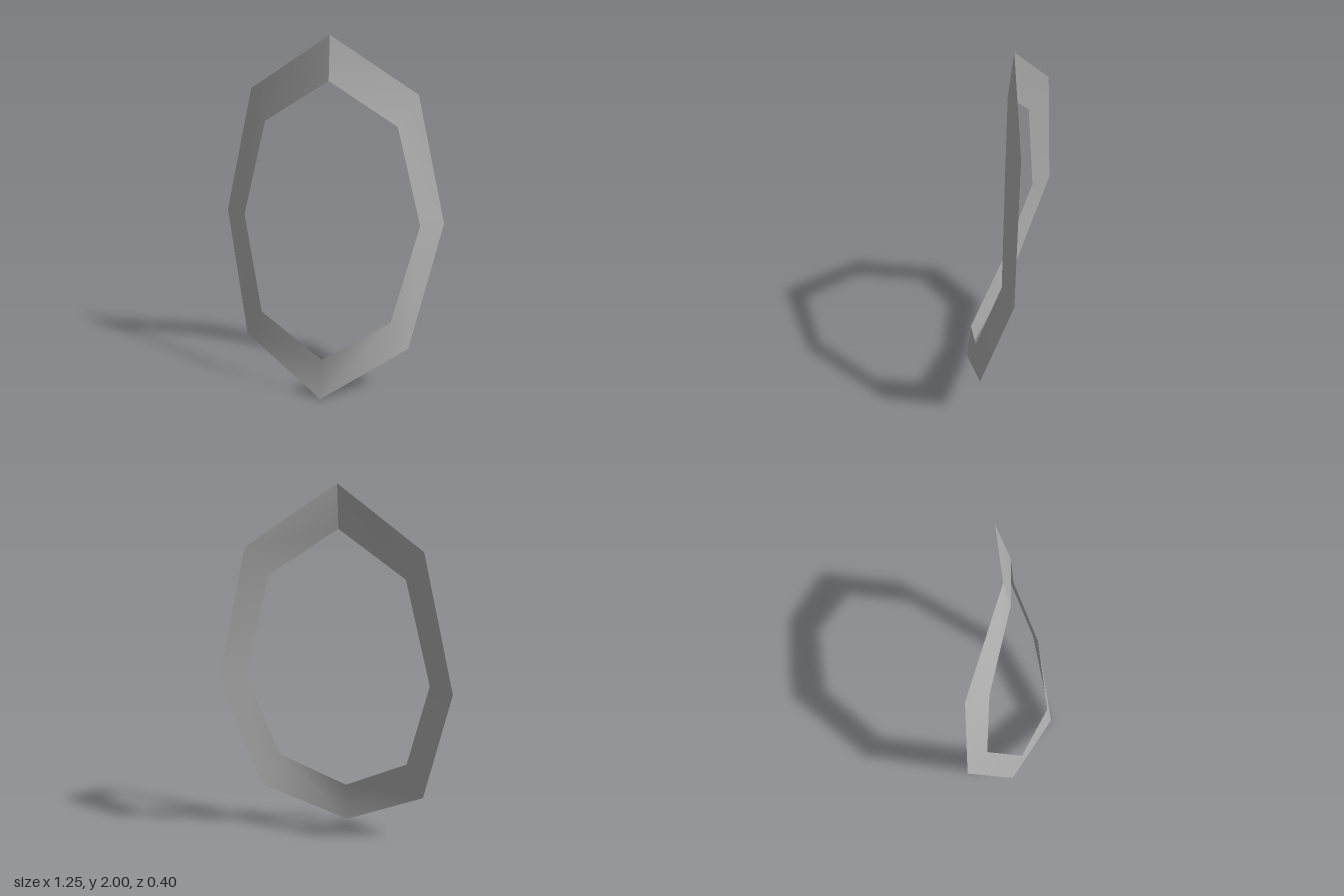
import * as THREE from 'three';

// Cross-sections of the right-hand half, top to bottom: outer point, inner point
const HALF = [
  [[0, 2, -0.08], [0, 1.77, -0.05]],
  [[0.457, 1.685, -0.193], [0.36, 1.53, -0.103]],
  [[0.626, 0.965, -0.2], [0.5, 0.975, -0.115]],
  [[0.472, 0.273, 0.01], [0.37, 0.45, 0.053]],
  [[0, 0, 0.197], [0, 0.24, 0.165]],
];

export function createModel() {
  const gray = new THREE.MeshStandardMaterial({ color: 0xb8b8b8, side: THREE.DoubleSide });
  gray.name = 'gray';

  // Full loop: down the +x side, back up the mirrored side; the seam stays open at the top
  const mirrored = HALF.slice(0, -1).reverse().map((s) => s.map(([x, y, z]) => [-x, y, z]));
  const sections = [...HALF, ...mirrored];

  // Skin neighbouring sections with front faces towards +z
  const index = [];
  for (let i = 0; i < sections.length - 1; i++) {
    const o = i * 2;
    index.push(o, o + 1, o + 2, o + 1, o + 3, o + 2);
  }
  const geometry = new THREE.BufferGeometry();
  geometry.setAttribute('position', new THREE.Float32BufferAttribute(sections.flat(2), 3));
  geometry.setIndex(index);
  geometry.computeVertexNormals();

  const band = new THREE.Mesh(geometry, gray);
  band.name = 'frameBand';
  const group = new THREE.Group();
  group.name = 'ovalFrame';
  group.add(band);
  return group;
}
